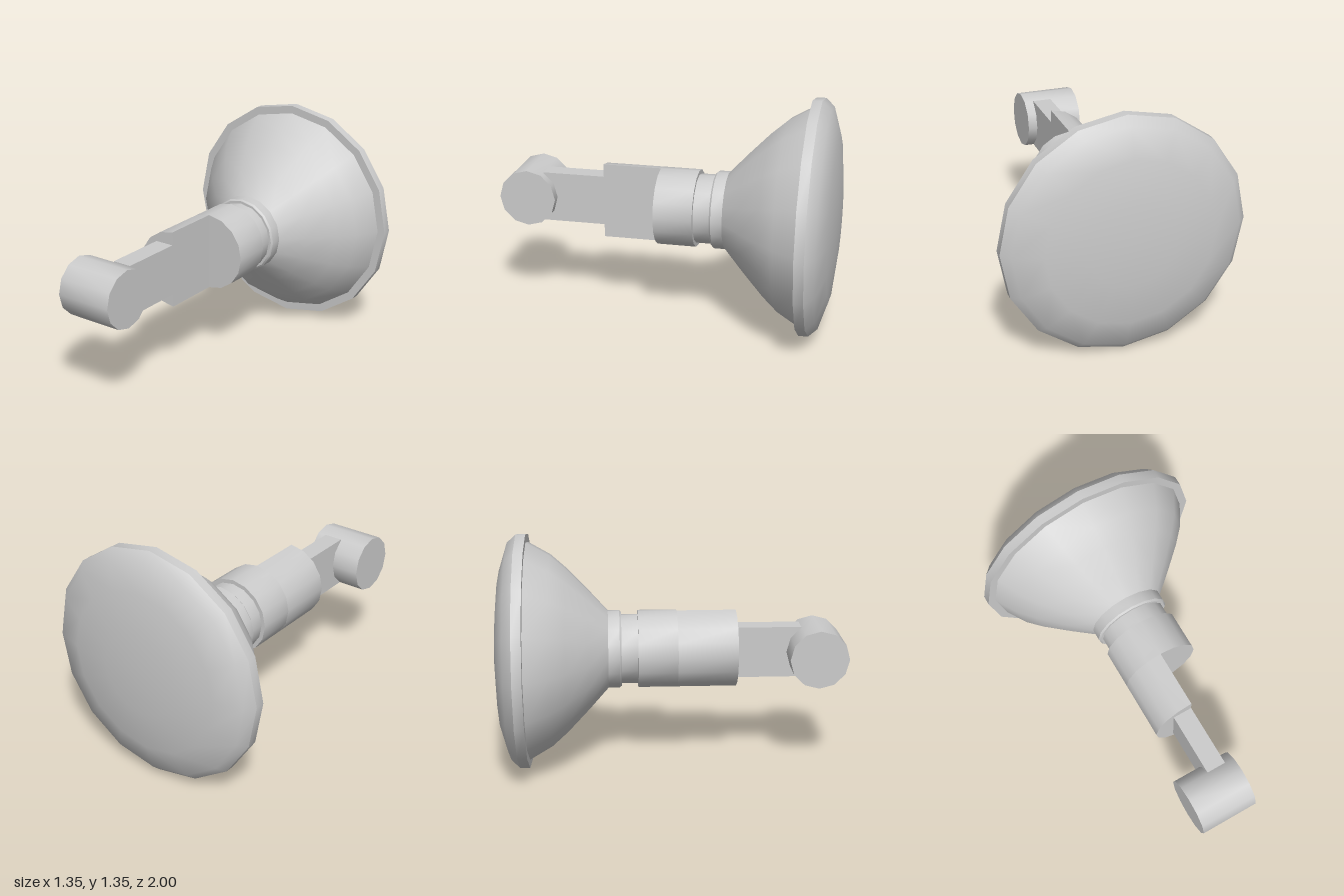
import * as THREE from 'three';
import { toCreasedNormals } from 'three/addons/utils/BufferGeometryUtils.js';

const AXIS_Y = 0.677;
const SIDES = 16;
const BODY_R = 0.224;

export function createModel() {
  const model = new THREE.Group();
  const material = new THREE.MeshStandardMaterial({ color: 0xcccccc });

  const add = (name, geometry, x = 0, z = 0) => {
    const mesh = new THREE.Mesh(toCreasedNormals(geometry, 0.65), material);
    mesh.name = name;
    mesh.position.set(x, AXIS_Y, z);
    model.add(mesh);
  };

  // Turned part along z, from [radius, z] pairs running back to front
  const turned = (profile) =>
    new THREE.LatheGeometry(profile.map(([r, z]) => new THREE.Vector2(r, z)), SIDES).rotateX(Math.PI / 2);

  // Shallow dome at the back and its rim band
  add('domeAndRim', turned([
    [0, -1], [0.24, -0.99], [0.47, -0.965], [0.63, -0.915], [0.677, -0.865], [0.677, -0.81], [0.63, -0.81],
  ]));

  // Flared bowl narrowing to the collar
  add('bowlAndCollar', turned([
    [0.63, -0.81], [0.555, -0.68], [0.475, -0.59], [0.345, -0.465],
    [BODY_R, -0.355], [BODY_R, -0.29], [0.215, -0.28], [0, -0.28],
  ]));

  // Thin neck and round body
  add('neck', turned([[0.2, -0.28], [0.2, -0.18]]));
  add('body', turned([[0, -0.185], [BODY_R, -0.185], [BODY_R, 0.04], [0, 0.04]]));

  // Half-round extension, cut flat at x = 0
  const half = [];
  for (let i = 0; i <= SIDES / 2; i++) {
    const a = Math.PI / 2 + (i / SIDES) * Math.PI * 2;
    half.push(new THREE.Vector2(BODY_R * Math.cos(a), BODY_R * Math.sin(a)));
  }
  add('halfBody', new THREE.ExtrudeGeometry(new THREE.Shape(half), { depth: 0.34, bevelEnabled: false }), 0, 0.04);

  // Flat tab reaching into the cross pin
  add('tab', new THREE.BoxGeometry(0.112, 0.296, 0.37), -0.056, 0.56);

  // Twelve-sided cross pin lying along x
  add('crossPin', new THREE.CylinderGeometry(0.168, 0.168, 0.336, 12).rotateZ(Math.PI / 2), -0.113, 0.832);

  return model;
}
